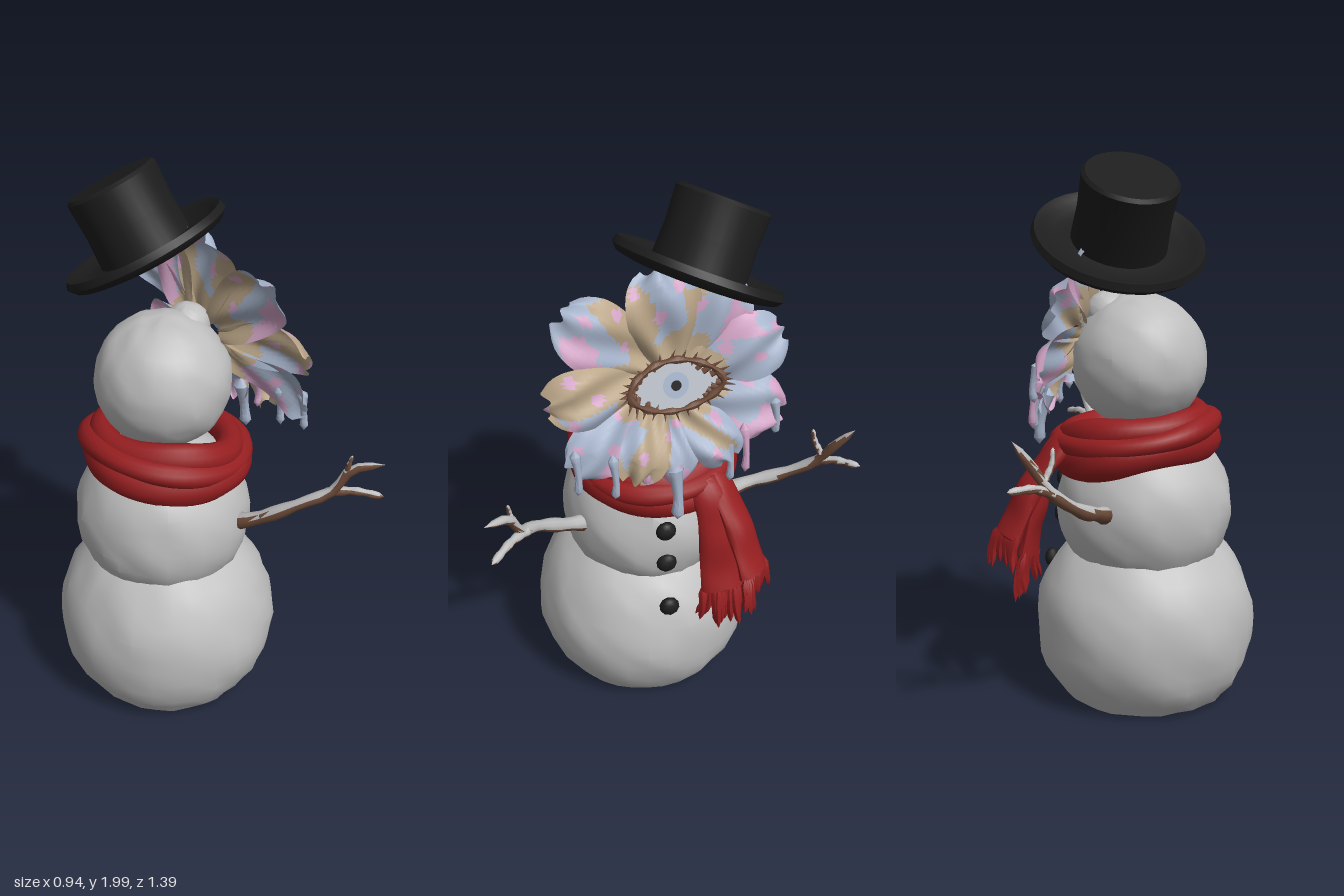
import * as THREE from 'three';
import { toCreasedNormals } from 'three/addons/utils/BufferGeometryUtils.js';
import { ParametricGeometry } from 'three/addons/geometries/ParametricGeometry.js';

const V = (x, y, z) => new THREE.Vector3(x, y, z);
const mat = (name, color, side = THREE.FrontSide) => {
  const m = new THREE.MeshStandardMaterial({ color, side });
  m.name = name;
  return m;
};

// Repeatable jitter in -1..1
const jitter = (i) => Math.sin(i * 12.9898 + 4.1) * Math.cos(i * 7.233);

// Tube with an elliptical section along a curve; size(v) gives the half-width along `side` and the half-depth
function sweep(curve, side, size, along = 16, around = 10) {
  const g = new ParametricGeometry((u, v, out) => {
    const t = curve.getTangentAt(v);
    const a = side.clone().addScaledVector(t, -t.dot(side)).normalize();
    const b = t.clone().cross(a);
    const [wa, wb] = size(v);
    const pinch = !curve.closed && (v < 1e-6 || v > 1 - 1e-6) ? 0 : 1;
    const q = u * Math.PI * 2;
    out.copy(curve.getPointAt(v))
      .addScaledVector(a, Math.cos(q) * wa * pinch)
      .addScaledVector(b, Math.sin(q) * wb * pinch);
  }, around, along);
  return toCreasedNormals(g, 0.9);
}

// Sort triangles into material groups by a rule on centre and normal
function paint(geo, count, rule) {
  const g = geo.index ? geo.toNonIndexed() : geo;
  const p = g.attributes.position;
  const bins = Array.from({ length: count }, () => []);
  const tri = new THREE.Triangle(), c = V(0, 0, 0), n = V(0, 0, 0);
  for (let i = 0; i < p.count; i += 3) {
    tri.setFromAttributeAndIndices(p, i, i + 1, i + 2);
    tri.getMidpoint(c);
    tri.getNormal(n);
    bins[rule(c, n)].push(i, i + 1, i + 2);
  }
  g.setIndex(bins.flat());
  let start = 0;
  bins.forEach((b, k) => { g.addGroup(start, b.length, k); start += b.length; });
  return g;
}

// Lumpy snowball, flattened where it meets the ground
function snowball(r, y, seed) {
  const g = new THREE.SphereGeometry(r, 32, 22);
  const p = g.attributes.position, d = V(0, 0, 0);
  for (let i = 0; i < p.count; i++) {
    d.fromBufferAttribute(p, i).normalize();
    const bump = Math.sin(d.x * 7 + seed) * Math.sin(d.y * 8 + seed * 2) * Math.cos(d.z * 7 - seed)
      + 0.6 * Math.sin(d.x * 15 - d.y * 11 + seed) * Math.sin(d.z * 16 + d.y * 5);
    d.multiplyScalar(r * (1 + 0.02 * bump));
    p.setXYZ(i, d.x, Math.max(d.y, -y), d.z);
  }
  return toCreasedNormals(g, 0.5);
}

// Broad petal growing along +y and cupping forward; colours are [left, middle, right, tip]
function petal(len, width, seed, [left, middle, right, tip]) {
  const g = new THREE.PlaneGeometry(2, 1, 16, 20);
  const p = g.attributes.position;
  for (let i = 0; i < p.count; i++) {
    const t = p.getX(i), s = p.getY(i) + 0.5;
    const w = width * (0.4 + 0.6 * Math.sin(Math.min(s / 0.65, 1) * Math.PI / 2))
      * Math.sqrt(Math.max(1 - Math.pow(Math.max(s - 0.55, 0) / 0.48, 3), 0.15));
    const ragged = s > 0.8 ? 0.012 * Math.sin(t * 6 + seed * 3) : 0;
    p.setXYZ(i, t * w, 0.07 + s * (len - 0.07) + ragged,
      0.085 * Math.sin(s * 1.9) ** 2 - 0.03 * s ** 3 - 0.025 * t * t + 0.012 * Math.sin(t * 5 + s * 6 + seed));
  }
  g.computeVertexNormals();
  return paint(g, 3, (c) => {
    const s = c.y / len + 0.06 * Math.sin(c.x * 50 + seed);
    const t = c.x / width + 0.2 * Math.sin(s * 8 + seed * 2);
    if (s < 0.42) return 2;
    if (Math.sin(c.x * 42 + seed * 5) * Math.sin(c.y * 34 + seed * 2) > 0.72) return 1;
    if (s > 0.86) return tip;
    return t < -0.35 ? left : t > 0.35 ? right : middle;
  });
}

export function createModel() {
  const model = new THREE.Group();
  const snow = mat('snow', 0xbebebe);
  const red = mat('scarf red', 0x951e20);
  const black = mat('hat black', 0x1c1c1c);
  const bark = mat('bark brown', 0x6e4c3a);
  const blue = mat('petal blue', 0xa4b1c8, THREE.DoubleSide);
  const pink = mat('petal pink', 0xd0a2c4, THREE.DoubleSide);
  const tan = mat('petal tan', 0xb8a386, THREE.DoubleSide);
  const white = mat('eye white', 0xb9bec6);
  const add = (parent, name, geo, material) => {
    const m = new THREE.Mesh(geo, material);
    m.name = name;
    parent.add(m);
    return m;
  };

  // Three snowballs
  [['baseSnowball', 0.41, -0.065, 0.28, 0.05], ['torsoSnowball', 0.322, -0.065, 0.73, 0.025],
    ['head', 0.243, -0.05, 1.265, 0.01]].forEach(([name, r, x, y, z], i) =>
    add(model, name, snowball(r, y, i + 1), snow).position.set(x, y, z));
  const lump = add(model, 'headLump', snowball(0.08, 1, 5), snow);
  lump.position.set(0.065, 1.435, 0);

  // Coal buttons
  [[0.245, 0.81], [0.255, 0.67], [0.295, 0.49]].forEach(([x, y], i) => {
    const b = add(model, 'button', new THREE.IcosahedronGeometry(0.038, 1), black);
    b.position.set(x, y, 0.04);
    b.scale.set(0.7, 1, 1);
    b.rotation.x = i;
  });

  // Tilted top hat, hollow underneath with a rolled brim
  const profile = [[0, 0.235], [0.15, 0.235], [0.15, -0.01], [0.24, -0.018], [0.285, -0.008], [0.306, 0.015],
    [0.296, 0.04], [0.265, 0.032], [0.235, 0.013], [0.168, 0.015], [0.162, 0.13], [0.167, 0.258], [0.156, 0.27], [0, 0.27]];
  const hat = add(model, 'topHat', toCreasedNormals(
    new THREE.LatheGeometry(profile.map(([x, y]) => new THREE.Vector2(x, y)), 32), 0.7), black);
  hat.position.set(-0.005, 1.682, -0.135);
  hat.quaternion.setFromUnitVectors(V(0, 1, 0), V(-0.26, 0.87, -0.42).normalize());

  // Scarf coils
  const scarf = new THREE.Group();
  scarf.name = 'scarf';
  model.add(scarf);
  [[0.955, 0.25, 0.068, 0.06, 0.03], [1.005, 0.27, 0.04, 0.045, 0.04], [1.032, 0.23, 0.055, 0.05, 0.038]]
    .forEach(([y, r, h, d, tilt], k) => {
      const pts = Array.from({ length: 16 }, (_, i) => {
        const a = i / 16 * Math.PI * 2, rr = r + 0.008 * jitter(i + k * 20);
        return V(-0.035 + rr * Math.cos(a), y - tilt * Math.cos(a) + 0.012 * Math.sin(a * 2 + k * 2), 0.01 + rr * Math.sin(a));
      });
      add(scarf, 'scarfCoil', sweep(new THREE.CatmullRomCurve3(pts, true), V(0, 1, 0),
        (v) => [h * (1 + 0.1 * Math.sin(v * Math.PI * 8)), d], 56, 12), red);
    });

  // Hanging scarf ends with fringe; the second end is turned diagonally
  const tails = [
    { pts: [V(0.2, 1.0, -0.09), V(0.27, 0.9, -0.13), V(0.3, 0.72, -0.145), V(0.335, 0.55, -0.155)], w: 0.088, drop: 0.16, out: 0.015, side: V(0, 0, 1) },
    { pts: [V(0.17, 1.0, -0.14), V(0.26, 0.9, -0.19), V(0.34, 0.74, -0.235), V(0.38, 0.64, -0.255)], w: 0.085, drop: 0.11, out: 0.025, side: V(0.7, 0, 0.7) },
  ];
  tails.forEach(({ pts, w, drop, out, side }, k) => {
    add(scarf, 'scarfTail', sweep(new THREE.CatmullRomCurve3(pts), side,
      (v) => [w * (0.7 + 0.25 * v), 0.032 + 0.006 * Math.sin(v * 14)], 20, 14), red);
    for (let i = 0; i < 12; i++) {
      const f = (i - 5.5) / 5.5, j = jitter(i + k * 31);
      const a = pts[3].clone().addScaledVector(side, f * w * 0.9).add(V(0.012 * j - 0.01, 0.04, 0));
      const b = a.clone().addScaledVector(side, f * 0.015 + 0.015 * jitter(i * 3))
        .add(V(out + 0.02 * j, -0.04 - drop * (0.85 + 0.2 * j), -0.01 * j));
      const mid = a.clone().lerp(b, 0.5).add(V(0.012, 0, 0.01 * j));
      add(scarf, 'fringe', sweep(new THREE.CatmullRomCurve3([a, mid, b]), side,
        (v) => [0.017 - 0.007 * v, 0.017 - 0.007 * v], 5, 5), red);
    }
  });

  // Twig arms: snow on top and behind, bark below and in front
  const snowSide = V(0.2, 0.8, -0.35);
  const twig = (name, r0, r1, pts) => {
    const g = sweep(new THREE.CatmullRomCurve3(pts), V(1, 0, 0), (v) => {
      const r = (r0 + (r1 - r0) * v) * (1 + 0.12 * Math.sin(v * 25));
      return [r, r];
    }, 14, 10);
    add(model, name, paint(g, 2, (c, n) => (n.dot(snowSide) > 0.17 ? 0 : 1)), [snow, bark]);
  };
  twig('leftArm', 0.03, 0.013, [V(0.05, 0.75, 0.27), V(0.1, 0.8, 0.37), V(0.2, 0.9, 0.5), V(0.27, 0.95, 0.56), V(0.31, 1.04, 0.6), V(0.38, 1.08, 0.69)]);
  twig('leftArmBranch', 0.018, 0.012, [V(0.25, 0.93, 0.53), V(0.32, 0.95, 0.6), V(0.4, 0.935, 0.68)]);
  twig('leftArmTwig', 0.013, 0.005, [V(0.305, 1.02, 0.59), V(0.3, 1.06, 0.595), V(0.31, 1.1, 0.6)]);
  twig('rightArm', 0.03, 0.013, [V(0.01, 0.75, -0.25), V(0.02, 0.785, -0.35), V(0.05, 0.82, -0.45), V(0.12, 0.91, -0.57), V(0.17, 1.0, -0.61), V(0.22, 1.1, -0.67)]);
  twig('rightArmBranch', 0.018, 0.012, [V(0.11, 0.9, -0.56), V(0.16, 0.935, -0.62), V(0.23, 0.94, -0.7)]);
  twig('rightArmTwig', 0.014, 0.007, [V(0.14, 0.95, -0.585), V(0.12, 1.01, -0.56), V(0.12, 1.06, -0.55)]);

  // Cupped flower face: local z looks out of the face
  const flower = new THREE.Group();
  flower.name = 'flowerFace';
  flower.position.set(0.168, 1.385, 0.005);
  flower.rotation.set(-0.31, Math.PI / 2 + 0.06, 0, 'YXZ');
  model.add(flower);
  [[178, 0.435, 0.105, [0, 2, 2, 2]], [140, 0.455, 0.125, [1, 0, 2, 0]], [92, 0.39, 0.135, [2, 0, 2, 0]],
    [52, 0.42, 0.12, [2, 0, 1, 0]], [17, 0.415, 0.115, [1, 0, 0, 0]], [336, 0.41, 0.125, [0, 0, 1, 1]],
    [300, 0.34, 0.09, [0, 2, 0, 0]], [266, 0.34, 0.08, [0, 0, 2, 1]], [240, 0.35, 0.09, [2, 2, 0, 2]],
    [211, 0.44, 0.115, [1, 0, 0, 0]]].forEach(([deg, len, w, colours], i) => {
    const m = add(flower, 'petal', petal(len, w, i + 1, colours), [blue, pink, tan]);
    m.rotation.z = (deg - 90) * Math.PI / 180;
    m.position.z = i % 2 ? -0.012 : 0.006;
  });

  // Drips hanging from the lower petals
  [[-0.365, -0.2, 0.12], [-0.24, -0.24, 0.12], [-0.13, -0.25, 0.08], [-0.03, -0.31, 0.17], [0.17, -0.25, 0.13],
    [0.23, -0.22, 0.14], [0.35, -0.15, 0.09]].forEach(([x, y, len], i) => {
    const curve = new THREE.CatmullRomCurve3([V(x, y + 0.05, 0.05), V(x + 0.005, y - len / 2, 0.04), V(x, y - len, 0.02)]);
    const fat = i === 3 ? 1.5 : 1;
    add(flower, 'drip', sweep(curve, V(1, 0, 0), (v) => {
      const r = fat * (0.024 - 0.016 * Math.sin(v * 2.4) + 0.006 * v);
      return [r, r];
    }, 8, 7), [blue, blue, pink][i % 3]);
  });

  // Almond eye recessed in the cup, with a thorny bark rim
  const almond = (q, k = 1) => V(0.165 * k * Math.cos(q),
    0.086 * k * Math.sin(q) * (0.65 + 0.35 * Math.abs(Math.sin(q))), 0.035 + 0.035 * Math.cos(q) ** 2);
  const ring = Array.from({ length: 28 }, (_, i) => i / 28 * Math.PI * 2);
  const lid = new THREE.Shape(ring.map((q) => { const p = almond(q); return new THREE.Vector2(p.x, p.y); }));
  const plate = (name, shape, z, material) => { add(flower, name, new THREE.ShapeGeometry(shape, 20), material).position.z = z; };
  plate('eyeball', lid, 0.04, white);
  const disc = (r) => new THREE.Shape().absarc(0.005, 0.002, r, 0, Math.PI * 2);
  plate('iris', disc(0.045), 0.044, blue);
  plate('pupil', disc(0.018), 0.048, black);
  add(flower, 'eyeRim', sweep(new THREE.CatmullRomCurve3(ring.map((q) => almond(q)), true), V(0, 0, 1),
    (v) => [0.015, 0.011 + 0.004 * Math.sin(v * Math.PI * 20)], 56, 7), bark);
  ring.forEach((q, i) => {
    const thorn = add(flower, 'thorn', new THREE.ConeGeometry(0.012, 0.065 + 0.025 * jitter(i), 5), bark);
    thorn.position.copy(almond(q, 1.07));
    const dir = V(Math.cos(q) + 0.6 * jitter(i), Math.sin(q), 0.5).normalize();
    thorn.quaternion.setFromUnitVectors(V(0, 1, 0), dir);
  });
  return model;
}
